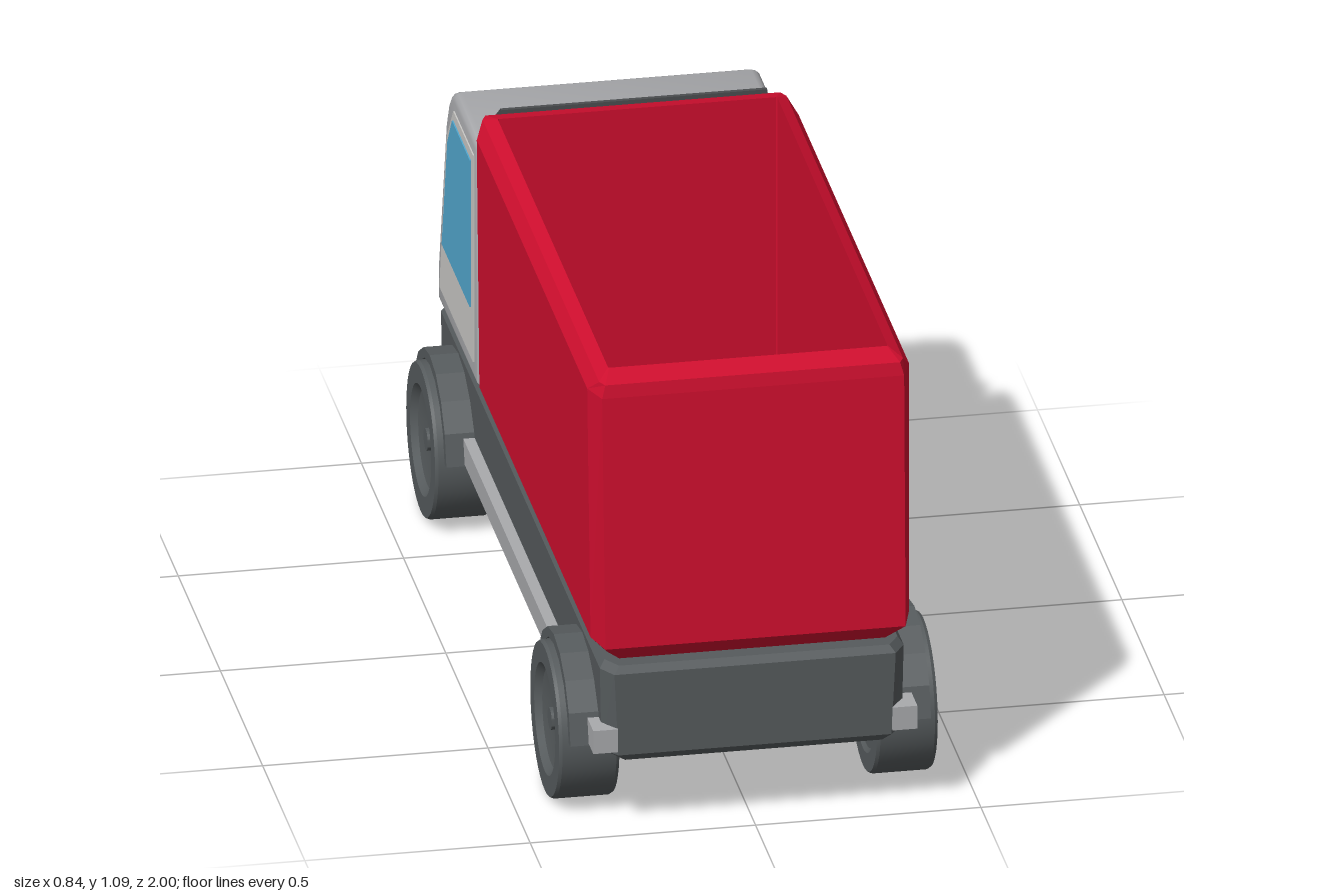
import * as THREE from 'three';
import { toCreasedNormals } from 'three/addons/utils/BufferGeometryUtils.js';

const material = (name, color) => {
  const m = new THREE.MeshStandardMaterial({ color });
  m.name = name;
  return m;
};

// Closed flat-shaded body from stacked chamfered rectangles:
// each ring is [y, half width, back z, front z, chamfer x, chamfer z]
function ringBody(rings) {
  const pos = [], index = [];
  for (const [y, w, z0, z1, cx, cz] of rings) {
    const loop = [[w, z1 - cz], [w, z0 + cz], [w - cx, z0], [cx - w, z0],
      [-w, z0 + cz], [-w, z1 - cz], [cx - w, z1], [w - cx, z1]];
    for (const [x, z] of loop) pos.push(x, y, z);
  }
  const last = (rings.length - 1) * 8;
  for (let r = 0; r < last; r += 8) {
    for (let j = 0; j < 8; j++) {
      const k = (j + 1) % 8;
      index.push(r + j, r + k, r + 8 + k, r + j, r + 8 + k, r + 8 + j);
    }
  }
  for (let j = 1; j < 7; j++) {
    index.push(0, j + 1, j, last, last + j, last + j + 1);
  }
  const g = new THREE.BufferGeometry();
  g.setAttribute('position', new THREE.Float32BufferAttribute(pos, 3));
  g.setIndex(index);
  const flat = g.toNonIndexed();
  flat.computeVertexNormals();
  return flat;
}

const shapeOf = (points) => new THREE.Shape(points.map(([a, b]) => new THREE.Vector2(a, b)));

// Side profile in (-z, y), extruded across x and centred on it
function sideExtrude(points, width, bevel = 0) {
  const g = new THREE.ExtrudeGeometry(shapeOf(points), {
    depth: width - 2 * bevel, bevelEnabled: bevel > 0, bevelSize: bevel,
    bevelThickness: bevel, bevelOffset: -bevel, bevelSegments: 3,
  });
  g.translate(0, 0, bevel - width / 2).rotateY(Math.PI / 2);
  return bevel > 0 ? toCreasedNormals(g, 0.7) : g;
}

// Outline in (x, y) extruded toward -z and leaned back
function facePlate(points, depth, lean) {
  return new THREE.ExtrudeGeometry(shapeOf(points), { depth, bevelEnabled: false })
    .rotateX(-lean).rotateY(Math.PI);
}

export function createModel() {
  const model = new THREE.Group();
  const red = material('red body', 0xcf0e2e);
  const dark = material('dark chassis', 0x565b5d);
  const grey = material('grey cab', 0xa9aaad);
  const pale = material('pale door', 0xcac9c6);
  const glass = material('blue glass', 0x53a8d0);
  const black = material('charcoal trim', 0x4a4d4f);

  const add = (name, geometry, mat, x = 0, y = 0, z = 0) => {
    const m = new THREE.Mesh(geometry, mat);
    m.name = name;
    m.position.set(x, y, z);
    model.add(m);
    return m;
  };

  // Open cargo box: outer skin, sloping rim, inner walls and floor
  add('cargoBox', ringBody([
    [0.408, 0.315, -0.45, 0.96, 0.02, 0.04],
    [0.45, 0.353, -0.457, 1.0, 0.02, 0.07],
    [1.04, 0.357, -0.457, 0.972, 0.022, 0.06],
    [1.07, 0.337, -0.455, 0.967, 0.01, 0.02],
    [1.085, 0.31, -0.4, 0.91, 0.002, 0.002],
    [0.46, 0.31, -0.4, 0.91, 0.002, 0.002],
  ]), red);

  // Chassis
  add('chassis', ringBody([
    [0.17, 0.315, -0.95, 0.975, 0.03, 0.05],
    [0.19, 0.333, -0.968, 0.993, 0.03, 0.04],
    [0.385, 0.337, -0.968, 0.995, 0.025, 0.04],
    [0.402, 0.325, -0.96, 0.985, 0.025, 0.04],
  ]), dark);

  // Cab shell
  add('cab', sideExtrude([
    [0.487, 0.4], [0.955, 0.4], [0.957, 0.487], [0.862, 0.877], [0.835, 0.93],
    [0.8, 0.968], [0.76, 0.986], [0.5, 0.986], [0.487, 0.973],
  ], 0.68, 0.02), grey);

  // Windscreen, front panel and roof deflector
  add('windscreen', facePlate([[-0.305, -0.14], [0.305, -0.14], [0.29, 0.14], [-0.29, 0.14]],
    0.006, 0.244), glass, 0, 0.685, -0.907);
  add('frontPanel', facePlate([[-0.22, 0.27], [0.22, 0.27], [0.22, 0.49], [0.205, 0.52],
    [-0.205, 0.52], [-0.22, 0.49]], 0.03, 0), black, 0, 0, -0.945);
  add('roofDeflector', sideExtrude([[0.49, 0.98], [0.588, 0.98], [0.588, 1.0],
    [0.5, 1.063], [0.49, 1.063]], 0.59), black, 0.01);

  // Bumper
  add('bumper', new THREE.BoxGeometry(0.71, 0.065, 0.04), grey, 0, 0.232, -0.98);

  // Door handle, on one side only
  add('doorHandle', new THREE.BoxGeometry(0.012, 0.018, 0.065), black, 0.358, 0.55, -0.572);
  add('handleMount', new THREE.BoxGeometry(0.02, 0.014, 0.015), black, 0.347, 0.55, -0.56);

  const doorShape = [[0.517, 0.45], [0.915, 0.45], [0.83, 0.85], [0.75, 0.947], [0.517, 0.947]];
  const windowShape = [[0.54, 0.572], [0.872, 0.572], [0.805, 0.85], [0.75, 0.925], [0.54, 0.925]];

  // Faceted half-ring fender
  const arc = (r, from, to) => Array.from({ length: 9 }, (_, i) => {
    const t = from + (to - from) * i / 8;
    return [r * Math.cos(t), r * Math.sin(t)];
  });
  const fender = sideExtrude([...arc(0.2, 0.1, Math.PI - 0.1),
    ...arc(0.177, Math.PI - 0.1, 0.1)], 0.09);

  // Wheel with dished rim and hub
  const wheel = toCreasedNormals(new THREE.LatheGeometry([
    [0, -0.06], [0.12, -0.06], [0.13, -0.067], [0.171, -0.067], [0.175, -0.06],
    [0.175, 0.06], [0.171, 0.067], [0.125, 0.067], [0.11, 0.052], [0.06, 0.042],
    [0.025, 0.042], [0.025, 0.056], [0, 0.056],
  ].map(([r, h]) => new THREE.Vector2(r, h)), 40).rotateZ(-Math.PI / 2), 0.5);

  for (const s of [1, -1]) {
    const side = s > 0 ? 'left' : 'right';
    add(side + 'Door', sideExtrude(doorShape, 0.008), pale, s * 0.339);
    add(side + 'Window', sideExtrude(windowShape, 0.008), glass, s * 0.342);
    add(side + 'Rail', new THREE.BoxGeometry(0.055, 0.055, 1.98), grey, s * 0.332, 0.228, 0.008);
    for (const [end, z] of [['Cab', -0.725], ['Tail', 0.745]]) {
      add(side + end + 'Fender', fender, dark, s * 0.355, 0.177, z);
      add(side + end + 'Wheel', wheel, dark, s * 0.353, 0.175, z).rotation.y = s > 0 ? 0 : Math.PI;
    }
  }
  return model;
}
